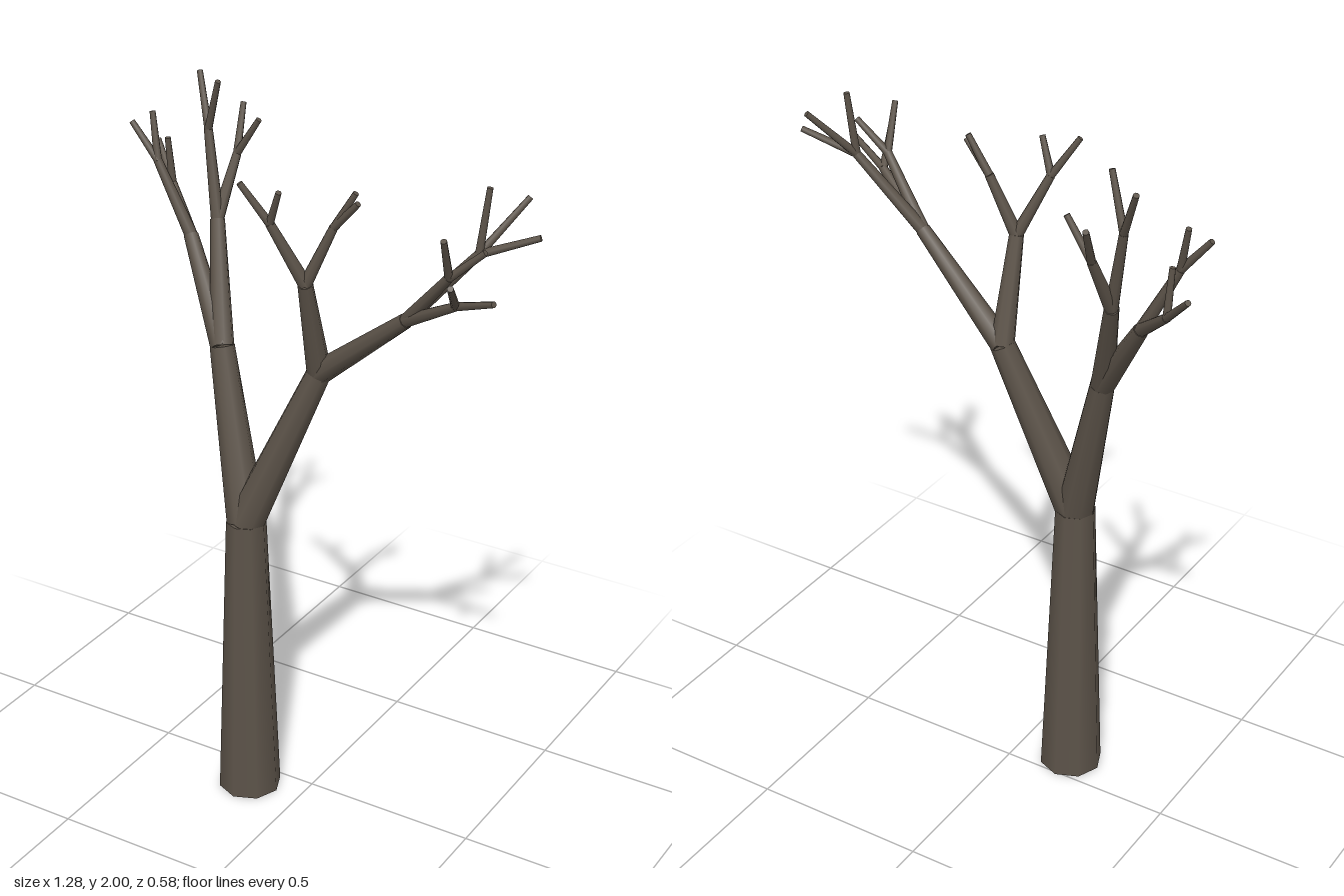
import * as THREE from 'three';

// Each node is [x, y, z, ...child nodes]; a limb runs from a node to each child.
const tree = [-0.16, 0, 0.08,
  [-0.16, 0.86, 0.08,
    [-0.28, 1.32, 0.0,
      [-0.44, 1.57, -0.1,
        [-0.54, 1.76, -0.1, [-0.62, 1.855, -0.1], [-0.57, 1.885, -0.125]],
        [-0.55, 1.67, -0.18, [-0.635, 1.76, -0.24], [-0.555, 1.8, -0.17]]],
      [-0.37, 1.62, -0.125,
        [-0.42, 1.85, -0.165, [-0.48, 1.985, -0.22], [-0.37, 1.995, -0.14]],
        [-0.36, 1.78, -0.21, [-0.386, 1.895, -0.285], [-0.29, 1.885, -0.21]]]],
    [0.04, 1.33, 0.03,
      [0.05, 1.61, 0.115,
        [-0.022, 1.775, 0.165, [-0.087, 1.88, 0.2], [0.017, 1.87, 0.185]],
        [0.12, 1.77, 0.095, [0.18, 1.87, 0.09], [0.195, 1.85, 0.105]]],
      [0.325, 1.565, 0.09,
        [0.495, 1.76, 0.04, [0.513, 1.93, 0.03], [0.577, 1.89, -0.06], [0.636, 1.815, -0.005]],
        [0.47, 1.73, 0.145, [0.56, 1.81, 0.135], [0.487, 1.85, 0.21]],
        [0.5, 1.67, 0.165, [0.624, 1.72, 0.21], [0.547, 1.77, 0.285]]]]]];

// Name, start radius and end radius for each generation of limbs.
const levels = [
  ['trunk', 0.089, 0.056],
  ['mainBranch', 0.054, 0.034],
  ['branch', 0.033, 0.02],
  ['smallBranch', 0.018, 0.012],
  ['twig', 0.011, 0.008],
];

const up = new THREE.Vector3(0, 1, 0);

// Tapered eight-sided limb between two points
function limb(a, b, [name, r0, r1], material) {
  const dir = b.clone().sub(a);
  const mesh = new THREE.Mesh(new THREE.CylinderGeometry(r1, r0, dir.length(), 8), material);
  mesh.position.copy(a).add(b).multiplyScalar(0.5);
  mesh.quaternion.setFromUnitVectors(up, dir.normalize());
  mesh.name = name;
  return mesh;
}

export function createModel() {
  const model = new THREE.Group();
  model.name = 'bareTree';
  const bark = new THREE.MeshStandardMaterial({ color: 0x5c5349 });

  // Follow every fork out to the twig tips
  const grow = (node, depth) => {
    const [x, y, z, ...children] = node;
    const start = new THREE.Vector3(x, y, z);
    for (const child of children) {
      const end = new THREE.Vector3(child[0], child[1], child[2]);
      model.add(limb(start, end, levels[depth], bark));
      grow(child, depth + 1);
    }
  };
  grow(tree, 0);
  return model;
}
